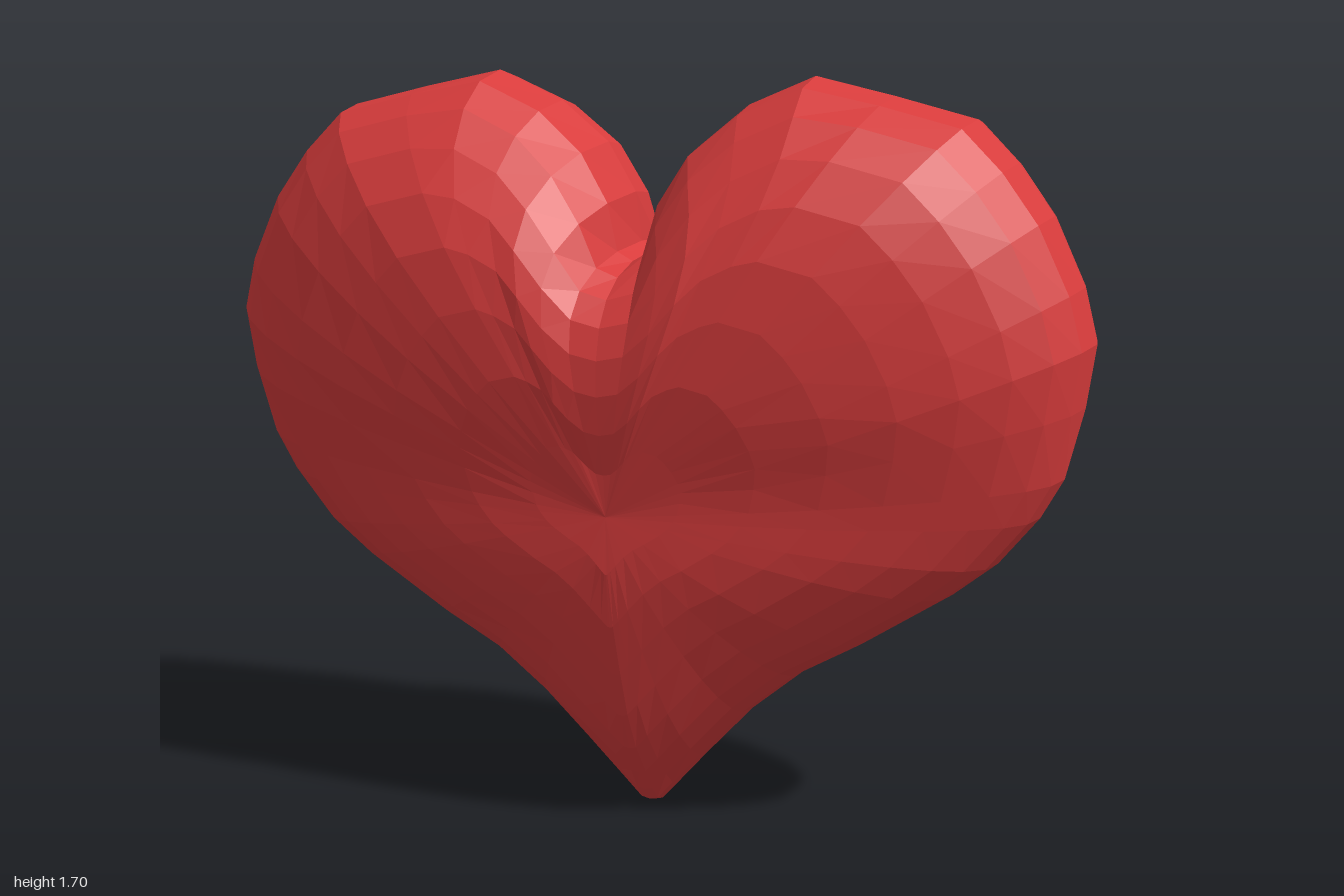
import * as THREE from 'three';

// Right half of the heart outline, from the notch clockwise to the tip
const HALF = [
  [0, 1.3], [0.03, 1.32], [0.045, 1.43], [0.11, 1.54], [0.22, 1.63], [0.37, 1.695],
  [0.55, 1.655], [0.73, 1.61], [0.82, 1.52], [0.9, 1.41], [0.97, 1.26], [1, 1.14],
  [0.98, 1], [0.94, 0.84], [0.89, 0.75], [0.8, 0.64], [0.7, 0.56], [0.5, 0.43],
  [0.36, 0.35], [0.24, 0.25], [0.13, 0.13], [0.06, 0.05], [0.02, 0.005], [0, 0],
];
// Opened-out notch that the inner outlines follow, so the cleft stays short
const OPEN_NOTCH = [[0, 1.3], [0.1, 1.32], [0.2, 1.4], [0.29, 1.5], [0.37, 1.58], [0.47, 1.63]];
const INNER = [...OPEN_NOTCH, ...HALF.slice(OPEN_NOTCH.length)];

const CENTER_Y = 0.75;
const RIM_Z = -0.02;
const TWIST = -0.025;
const STEPS = 9;

const { lerp, clamp } = THREE.MathUtils;
const fullOutline = (half) => [...half, ...half.slice(1, -1).reverse().map(([x, y]) => [-x, y])];

// Smooth depth profile over height, sampled every 0.2 from y = 0 to 1.8
function depthProfile(values) {
  const curve = new THREE.SplineCurve(values.map((h, i) => new THREE.Vector2(i * 0.2, h)));
  return (y) => curve.getPoint(clamp(y / 1.8, 0, 1)).y;
}
const frontDepth = depthProfile([0.1, 0.205, 0.25, 0.285, 0.29, 0.34, 0.375, 0.4, 0.39, 0.37]);
const backDepth = depthProfile([0.16, 0.29, 0.31, 0.32, 0.345, 0.365, 0.36, 0.36, 0.38, 0.37]);

// Concentric outlines swell from the front pole to the rim and shrink to the back pole
function heartGeometry() {
  const outer = fullOutline(HALF);
  const inner = fullOutline(INNER);
  const n = outer.length;
  const rows = STEPS * 2;
  const positions = [];
  const index = [];

  for (let k = 0; k <= rows; k++) {
    const s = k === rows ? 0 : Math.sin((Math.PI * k) / rows);
    const front = k < STEPS;
    for (let i = 0; i < n; i++) {
      const [ox, oy] = outer[i];
      const x = lerp(inner[i][0], ox, s ** 6) * s;
      const y = CENTER_Y + (lerp(inner[i][1], oy, s ** 6) - CENTER_Y) * s;
      // Walls of the notch fall off more steeply than the outer rim
      const notch = oy > 1.2 ? Math.exp(-((ox / 0.15) ** 2)) : 0;
      const swell = k === STEPS ? 0 : Math.max(0, 1 - s ** (2.5 + 2 * notch)) ** 0.4;
      // Thinner towards the sides, most of all low down
      const thin = 0.12 + 0.2 * clamp((1 - y) / 0.5, 0, 1);
      const depth = (front ? frontDepth(y) : -backDepth(y)) * (1 - thin * x * x);
      positions.push(x, y, RIM_Z + (depth - RIM_Z) * swell + TWIST * x);
    }
  }
  for (let k = 0; k < rows; k++) {
    for (let i = 0; i < n; i++) {
      const j = (i + 1) % n;
      const a = k * n + i, b = k * n + j, c = (k + 1) * n + j, d = (k + 1) * n + i;
      if (k < rows - 1) index.push(a, c, d);
      if (k > 0) index.push(a, b, c);
    }
  }

  const geometry = new THREE.BufferGeometry();
  geometry.setAttribute('position', new THREE.Float32BufferAttribute(positions, 3));
  geometry.setIndex(index);
  geometry.computeVertexNormals();
  return geometry;
}

export function createModel() {
  const red = new THREE.MeshStandardMaterial({ color: 0xd83c3c, flatShading: true });
  red.name = 'heart red';

  const heart = new THREE.Mesh(heartGeometry(), red);
  heart.name = 'heart';

  const model = new THREE.Group();
  model.name = 'heartModel';
  model.add(heart);
  return model;
}
